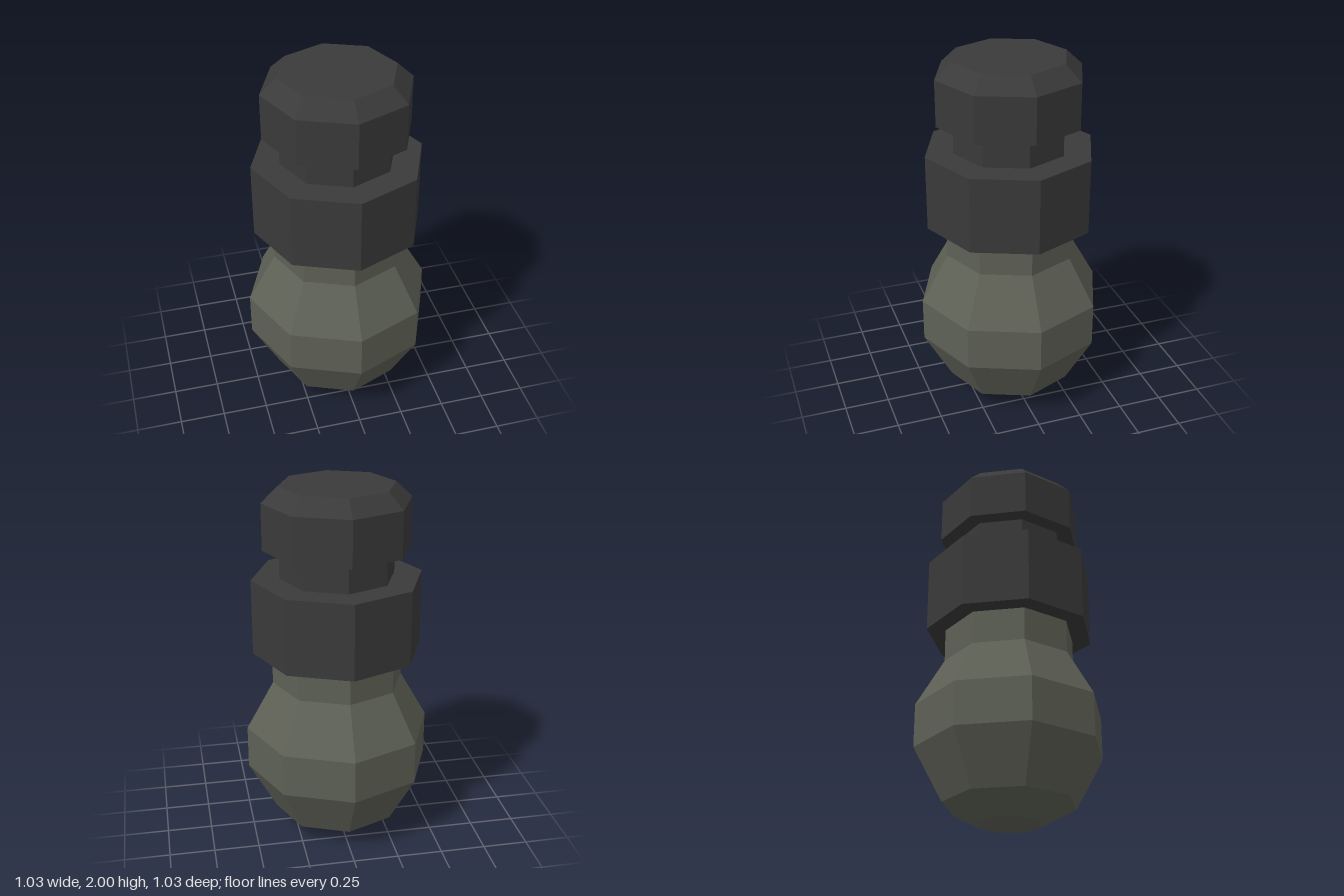
import * as THREE from 'three';

const SIDES = 8;

// Faceted solid of revolution from [radius, height] pairs, listed bottom to top
function turned(name, profile, material) {
  const points = profile.map(([r, y]) => new THREE.Vector2(r, y));
  const geometry = new THREE.LatheGeometry(points, SIDES).toNonIndexed();
  geometry.computeVertexNormals();
  const mesh = new THREE.Mesh(geometry, material);
  mesh.name = name;
  return mesh;
}

export function createModel() {
  const olive = new THREE.MeshStandardMaterial({ color: 0x5e6156 });
  olive.name = 'olive grey';
  const charcoal = new THREE.MeshStandardMaterial({ color: 0x3a3a3a });
  charcoal.name = 'charcoal';

  const model = new THREE.Group();
  model.name = 'bulb';

  model.add(
    // Rounded glass body with a straight throat
    turned('glassBody', [
      [0, 0], [0.175, 0], [0.36, 0.1], [0.517, 0.385],
      [0.517, 0.625], [0.365, 0.895], [0.365, 1.08], [0, 1.08],
    ], olive),
    // Wide collar gripping the throat
    turned('collar', [[0, 1.08], [0.47, 1.08], [0.47, 1.5], [0, 1.5]], charcoal),
    // Narrow neck between collar and cap
    turned('neck', [[0, 1.5], [0.315, 1.5], [0.315, 1.66], [0, 1.66]], charcoal),
    // Cap with a bevelled top edge
    turned('cap', [[0, 1.66], [0.405, 1.66], [0.405, 1.915], [0.315, 2], [0, 2]], charcoal),
  );
  return model;
}
